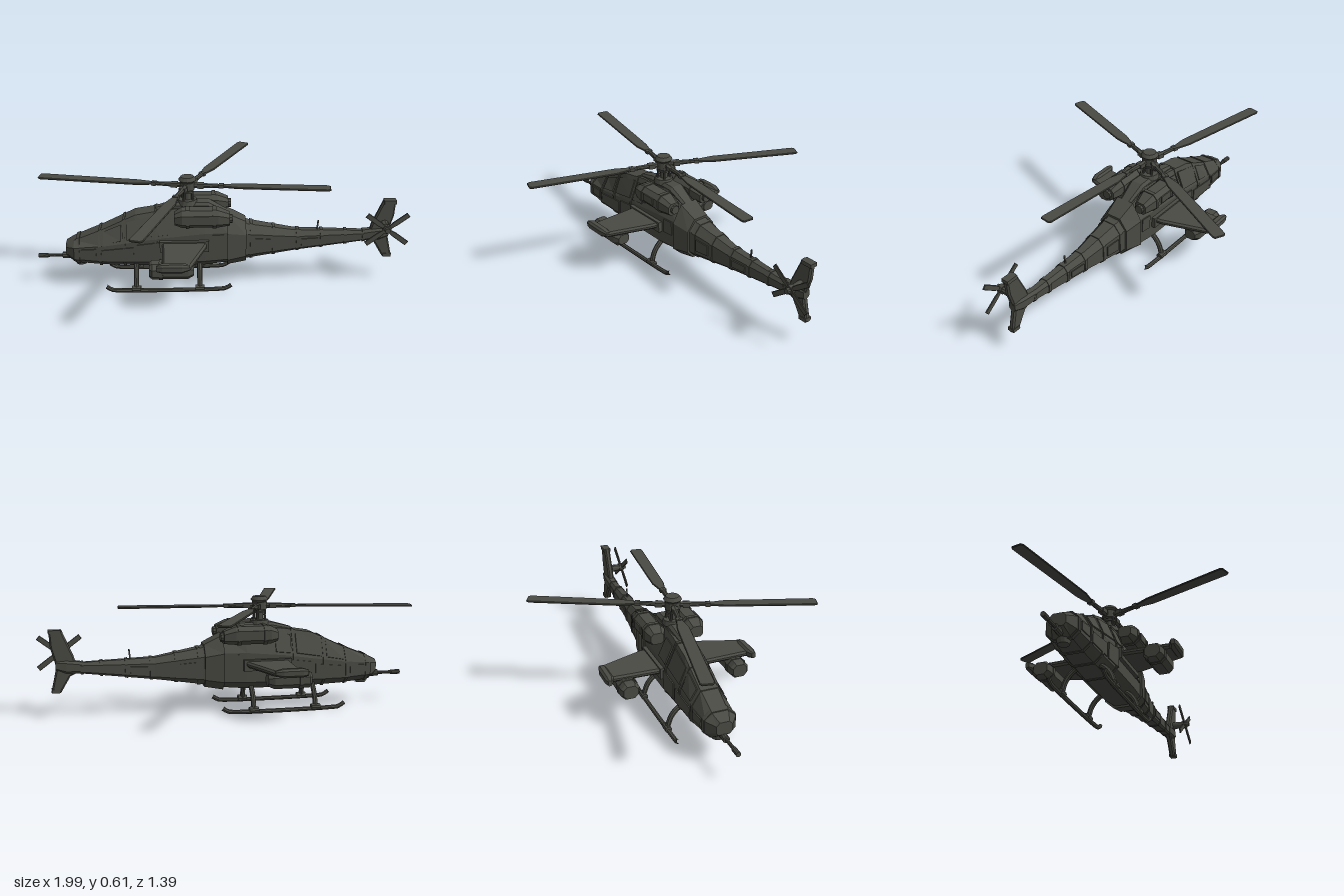
import * as THREE from 'three';

const paint = new THREE.MeshStandardMaterial({ color: 0x4a4a44, flatShading: true });
paint.name = 'drab paint';

// Hull sections: x, bottom y, lower side y, upper side y, top y, half widths at bottom, side, top
const HULL = [
  [-0.845, 0.175, 0.19, 0.225, 0.243, 0.03, 0.042, 0.025],
  [-0.80, 0.14, 0.17, 0.235, 0.265, 0.045, 0.078, 0.04],
  [-0.64, 0.125, 0.16, 0.25, 0.33, 0.05, 0.092, 0.045],
  [-0.47, 0.12, 0.16, 0.275, 0.41, 0.055, 0.098, 0.048],
  [-0.31, 0.12, 0.16, 0.30, 0.437, 0.06, 0.105, 0.045],
  [-0.10, 0.12, 0.16, 0.32, 0.45, 0.06, 0.105, 0.045],
  [0.02, 0.13, 0.165, 0.32, 0.40, 0.05, 0.095, 0.045],
  [0.13, 0.15, 0.18, 0.30, 0.345, 0.045, 0.074, 0.035],
  [0.38, 0.185, 0.20, 0.27, 0.30, 0.03, 0.045, 0.02],
  [0.81, 0.235, 0.243, 0.272, 0.285, 0.015, 0.022, 0.012],
];

function hullAt(x) {
  let i = 0;
  while (i < HULL.length - 2 && x > HULL[i + 1][0]) i++;
  const a = HULL[i], b = HULL[i + 1], t = (x - a[0]) / (b[0] - a[0]);
  return a.map((v, k) => v + (b[k] - v) * t);
}

// Ring of [z, y] points for one hull section, grown by g
function hullRing([x, yb, yl, yh, yt, hb, hm, ht], g = 0) {
  const half = [[hb + g / 2, yb - g], [hm + g, yl], [hm + g, yh], [ht + g / 2, yt + g]];
  return { x, pts: [...half, ...half.slice().reverse().map(([z, y]) => [-z, y])] };
}

// Chamfered box section
function boxRing(x, cy, cz, h, w, c = 0.3) {
  const a = w / 2, b = h / 2, k = Math.min(a, b) * c * 1.6;
  const pts = [[a - k, -b], [a, -b + k], [a, b - k], [a - k, b], [-a + k, b], [-a, b - k], [-a, -b + k], [-a + k, -b]];
  return { x, pts: pts.map(([z, y]) => [z + cz, y + cy]) };
}

// Closed skin over rings that run along +x
function loft(rings) {
  const n = rings[0].pts.length, pos = [], idx = [];
  rings.forEach(r => r.pts.forEach(([z, y]) => pos.push(r.x, y, z)));
  for (let s = 0; s < rings.length - 1; s++) {
    for (let i = 0; i < n; i++) {
      const a = s * n + i, b = s * n + (i + 1) % n;
      idx.push(a, a + n, b, b, a + n, b + n);
    }
  }
  const e = (rings.length - 1) * n;
  for (let i = 1; i < n - 1; i++) idx.push(0, i, i + 1, e, e + i + 1, e + i);
  const g = new THREE.BufferGeometry();
  g.setAttribute('position', new THREE.Float32BufferAttribute(pos, 3));
  g.setIndex(idx);
  const flat = g.toNonIndexed();
  flat.computeVertexNormals();
  return flat;
}

function plate(points, depth, bevel = 0.004) {
  const shape = new THREE.Shape(points.map(([x, y]) => new THREE.Vector2(x, y)));
  const g = new THREE.ExtrudeGeometry(shape, {
    depth: depth - 2 * bevel, bevelEnabled: true, bevelSize: bevel, bevelThickness: bevel, bevelOffset: -bevel, bevelSegments: 1,
  });
  return g.translate(0, 0, bevel - depth / 2);
}

const tube = (pts, r, seg = 12) => new THREE.TubeGeometry(
  new THREE.CatmullRomCurve3(pts.map(p => new THREE.Vector3(...p))), seg, r, 8, false);

export function createModel() {
  const model = new THREE.Group();
  model.name = 'helicopter';
  const body = new THREE.Group();
  body.name = 'airframe';
  body.position.z = -0.015;
  model.add(body);

  const add = (name, geo, x = 0, y = 0, z = 0, parent = body) => {
    const m = new THREE.Mesh(geo, paint);
    m.name = name;
    m.position.set(x, y, z);
    parent.add(m);
    return m;
  };
  const box = (name, w, h, d, x, y, z) => add(name, new THREE.BoxGeometry(w, h, d), x, y, z);
  const rodX = (name, r, x0, x1, y, z, r2 = r) =>
    add(name, new THREE.CylinderGeometry(r2, r, x1 - x0, 10).rotateZ(-Math.PI / 2), (x0 + x1) / 2, y, z);

  // Fuselage, raised frames and joints
  add('fuselage', loft(HULL.map(s => hullRing(s))));
  const band = (name, x, w, g) => add(name, loft([hullRing(hullAt(x - w / 2), g), hullRing(hullAt(x + w / 2), g)]));
  [-0.66, -0.53, -0.36].forEach(x => band('canopyFrame', x, 0.014, 0.005));
  [0.15, 0.27, 0.40, 0.53, 0.66, 0.76].forEach(x => band('boomJoint', x, 0.016, 0.004));
  band('rearCollar', 0.07, 0.1, 0.012);
  band('noseCollar', -0.78, 0.02, 0.005);

  // Thin panels that follow the hull side between two levels
  const sidePanel = (name, s, x0, x1, low, high) => {
    const ring = x => {
      const h = hullAt(x);
      const at = ([k, t], o) => {
        const y = h[k] + (h[k + 1] - h[k]) * t;
        const z = [0, h[5], h[6], h[6], h[7]];
        return [s * (z[k] + (z[k + 1] - z[k]) * t + o), y + (k === 3 ? o * 0.5 : 0)];
      };
      const p = [at(low, -0.006), at(low, 0.006), at(high, 0.006), at(high, -0.006)];
      return { x, pts: s > 0 ? p : p.reverse() };
    };
    add(name, loft([ring(x0), ring(x1)]));
  };

  for (const s of [1, -1]) {
    sidePanel('canopyWindow', s, -0.64, -0.545, [3, 0.12], [3, 0.85]);
    sidePanel('canopyWindow', s, -0.515, -0.375, [3, 0.12], [3, 0.85]);
    sidePanel('cowlPanel', s, -0.345, -0.26, [3, 0.1], [3, 0.8]);
    sidePanel('nosePanel', s, -0.76, -0.68, [2, 0.25], [2, 0.85]);
    sidePanel('cheekPanel', s, -0.65, -0.48, [2, 0.1], [2, 0.75]);
    sidePanel('doorPanel', s, -0.46, -0.34, [2, 0.1], [2, 0.85]);
    sidePanel('rearHatch', s, -0.06, 0.0, [2, 0.45], [2, 0.95]);
    sidePanel('boomPanel', s, 0.17, 0.25, [2, 0.2], [2, 0.8]);
    sidePanel('boomPanel', s, 0.42, 0.51, [2, 0.2], [2, 0.8]);
    box('wingRoot', 0.26, 0.06, 0.04, -0.21, 0.255, s * 0.105);

    // Engine nacelle with intake lip and exhaust
    const ez = s * 0.108;
    add('engine', loft([
      boxRing(-0.26, 0.415, ez, 0.06, 0.07), boxRing(-0.22, 0.42, ez, 0.095, 0.104),
      boxRing(-0.03, 0.42, ez, 0.095, 0.104), boxRing(0.03, 0.41, ez, 0.065, 0.07),
    ]));
    add('engineBand', loft([boxRing(-0.2, 0.42, ez, 0.104, 0.112), boxRing(-0.18, 0.42, ez, 0.104, 0.112)]));
    add('engineBand', loft([boxRing(-0.06, 0.42, ez, 0.104, 0.112), boxRing(-0.04, 0.42, ez, 0.104, 0.112)]));
    rodX('exhaust', 0.024, 0.02, 0.045, 0.41, ez);
    box('engineVent', 0.08, 0.04, 0.008, -0.12, 0.425, s * 0.162);

    // Stub wing and tip
    const wing = plate([[-0.33, s * 0.08], [-0.32, s * 0.40], [-0.18, s * 0.40], [-0.095, s * 0.15], [-0.09, s * 0.08]], 0.03, 0.01);
    add('wing', wing.rotateX(Math.PI / 2), 0, 0.262, 0);
    add('wingTip', loft([
      boxRing(-0.35, 0.265, s * 0.395, 0.03, 0.02), boxRing(-0.32, 0.265, s * 0.39, 0.046, 0.045),
      boxRing(-0.22, 0.265, s * 0.39, 0.046, 0.045), boxRing(-0.18, 0.265, s * 0.385, 0.025, 0.03),
    ]));

    // Pod below the wing
    box('podPylon', 0.12, 0.04, 0.02, -0.27, 0.24, s * 0.3);
    add('weaponPod', loft([
      boxRing(-0.39, 0.213, s * 0.3, 0.068, 0.078, 0.35), boxRing(-0.375, 0.213, s * 0.3, 0.085, 0.098, 0.35),
      boxRing(-0.19, 0.213, s * 0.3, 0.085, 0.098, 0.35), boxRing(-0.16, 0.213, s * 0.3, 0.055, 0.065, 0.35),
    ]));
    add('podBand', loft([boxRing(-0.34, 0.213, s * 0.3, 0.092, 0.105, 0.35), boxRing(-0.32, 0.213, s * 0.3, 0.092, 0.105, 0.35)]));

    // Landing skid with curved struts
    add('skid', tube([[-0.63, 0.036, s * 0.14], [-0.6, 0.016, s * 0.14], [-0.55, 0.012, s * 0.14],
      [-0.03, 0.012, s * 0.14], [0.01, 0.017, s * 0.14], [0.04, 0.036, s * 0.14]], 0.012, 32));
    for (const x of [-0.47, -0.13]) {
      add('skidStrut', tube([[x, 0.14, s * 0.05], [x, 0.12, s * 0.085], [x, 0.08, s * 0.118], [x, 0.015, s * 0.14]], 0.014));
      rodX('skidClamp', 0.018, x - 0.025, x + 0.025, 0.018, s * 0.14);
    }
  }

  // Chin turret and gun
  add('turret', new THREE.CylinderGeometry(0.04, 0.03, 0.05, 12), -0.77, 0.14, 0);
  rodX('gunMount', 0.018, -0.87, -0.79, 0.16, 0);
  rodX('gunBarrel', 0.009, -0.99, -0.86, 0.16, 0);
  rodX('gunMuzzle', 0.013, -1.0, -0.95, 0.16, 0);

  // Spine and mast fairing
  add('spine', loft([boxRing(-0.36, 0.42, 0, 0.04, 0.05), boxRing(-0.25, 0.44, 0, 0.06, 0.08),
    boxRing(-0.08, 0.44, 0, 0.06, 0.09), boxRing(0.05, 0.375, 0, 0.04, 0.06)]));
  box('antenna', 0.008, 0.06, 0.006, 0.51, 0.315, 0).rotation.z = -0.1;

  // Tail fin and its panels
  add('tailFin', plate([[0.78, 0.235], [0.80, 0.32], [0.86, 0.46], [0.926, 0.46], [0.92, 0.37], [0.89, 0.265],
    [0.92, 0.13], [0.87, 0.13], [0.82, 0.215]], 0.032, 0.008));
  box('finCap', 0.065, 0.02, 0.04, 0.895, 0.45, 0);
  box('finFoot', 0.045, 0.02, 0.038, 0.895, 0.14, 0);
  add('tailGearbox', loft([boxRing(0.76, 0.26, 0, 0.06, 0.055), boxRing(0.84, 0.265, 0, 0.07, 0.055), boxRing(0.895, 0.275, 0, 0.05, 0.04)]));

  // Tail rotor on the +z side
  const tailRotor = new THREE.Group();
  tailRotor.name = 'tailRotor';
  tailRotor.position.set(0.87, 0.325, 0);
  body.add(tailRotor);
  add('tailShaft', new THREE.CylinderGeometry(0.014, 0.024, 0.11, 10).rotateX(Math.PI / 2), 0, 0, 0.06, tailRotor);
  add('tailHub', new THREE.CylinderGeometry(0.024, 0.024, 0.025, 10).rotateX(Math.PI / 2), 0, 0, 0.085, tailRotor);
  for (const a of [37, 143, 217, 323]) {
    const blade = add('tailBlade', plate([[0.0, -0.007], [0.05, -0.014], [0.138, -0.014], [0.138, 0.014], [0.05, 0.014], [0, 0.007]], 0.008, 0.002), 0, 0, 0.088, tailRotor);
    blade.rotation.z = THREE.MathUtils.degToRad(a);
  }

  // Main rotor head
  const rotor = new THREE.Group();
  rotor.name = 'mainRotor';
  rotor.position.set(-0.19, 0, 0);
  body.add(rotor);
  const disc = (name, r0, r1, y0, y1) =>
    add(name, new THREE.CylinderGeometry(r1, r0, y1 - y0, 14), 0, (y0 + y1) / 2, 0, rotor);
  disc('mastBase', 0.055, 0.048, 0.455, 0.482);
  disc('mast', 0.02, 0.02, 0.47, 0.6);
  disc('swashPlate', 0.034, 0.034, 0.52, 0.53);
  disc('hub', 0.04, 0.04, 0.538, 0.578);
  disc('hubCapRim', 0.036, 0.048, 0.578, 0.59);
  disc('hubCap', 0.048, 0.035, 0.59, 0.608);
  for (let i = 0; i < 4; i++) {
    const a = i * Math.PI / 2 + 0.6;
    add('pitchLink', tube([[0.036 * Math.cos(a), 0.47, 0.036 * Math.sin(a)], [0.03 * Math.cos(a), 0.51, 0.03 * Math.sin(a)],
      [0.034 * Math.cos(a), 0.55, 0.034 * Math.sin(a)]], 0.007, 4), 0, 0, 0, rotor);
  }

  // Main blades: heading in the x-z plane (degrees) and length
  for (const [deg, len] of [[5.7, 0.755], [109, 0.74], [191.3, 0.815], [296.6, 0.75]]) {
    const arm = new THREE.Group();
    arm.name = 'bladeArm';
    arm.position.y = 0.558;
    arm.rotation.y = -THREE.MathUtils.degToRad(deg);
    rotor.add(arm);
    const outline = [[0.12, -0.012], [0.19, -0.016], [0.27, -0.033], [len - 0.015, -0.036], [len, -0.026],
      [len, 0.026], [len - 0.015, 0.034], [0.27, 0.03], [0.19, 0.016], [0.12, 0.012]];
    add('blade', plate(outline, 0.01, 0.003).rotateX(Math.PI / 2), 0, 0, 0, arm);
    add('bladeGrip', new THREE.CylinderGeometry(0.011, 0.015, 0.16, 8).rotateZ(-Math.PI / 2), 0.11, 0, 0, arm);
    add('bladeCuff', new THREE.BoxGeometry(0.035, 0.024, 0.036), 0.07, 0, 0, arm);
    add('bladeCuff', new THREE.BoxGeometry(0.025, 0.018, 0.034), 0.18, 0, 0, arm);
  }
  return model;
}
